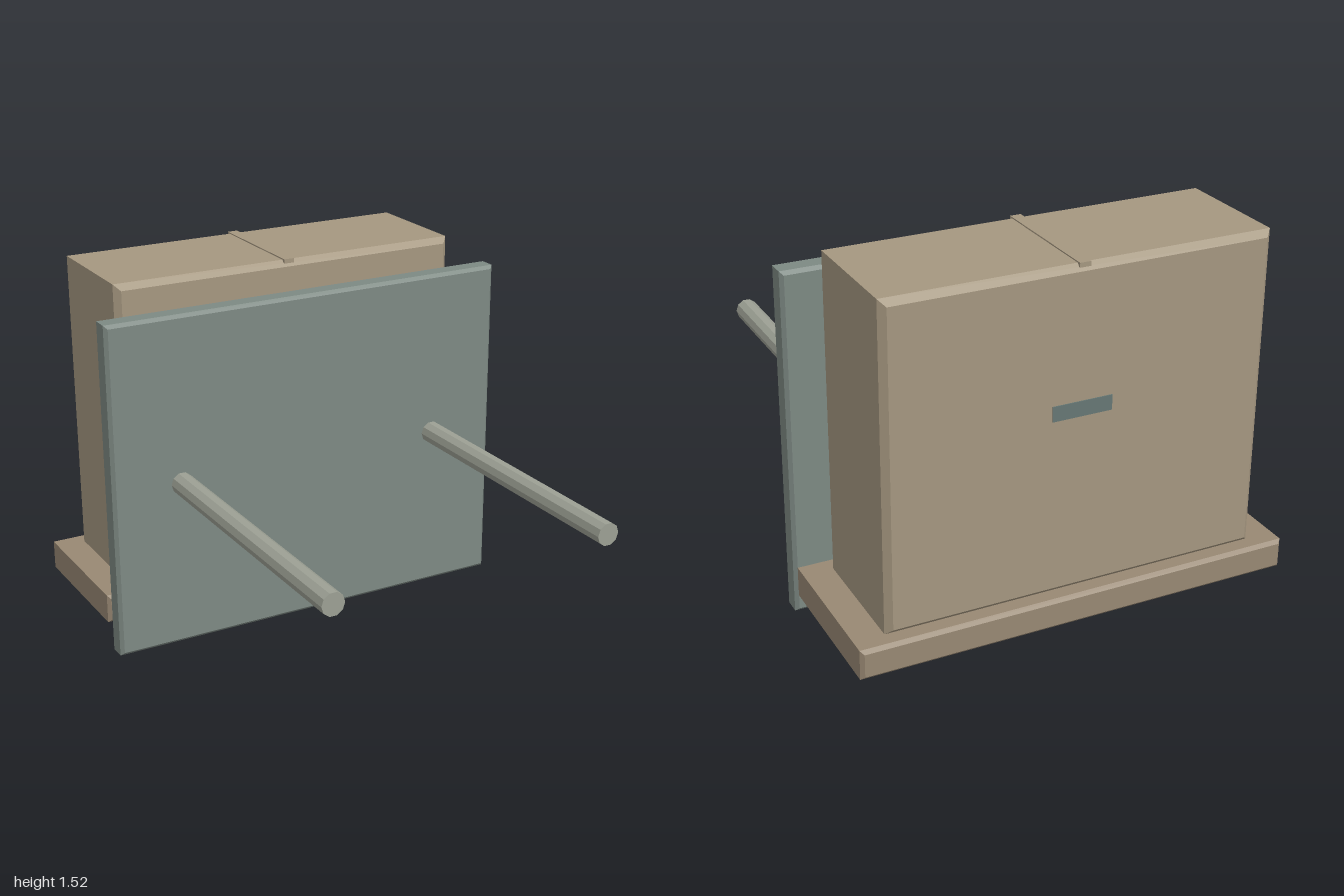
import * as THREE from 'three';

const mat = (color) => new THREE.MeshStandardMaterial({ color, flatShading: true });
const cardboard = mat(0xa59780);
const pallet = mat(0x988873);
const steel = mat(0x7d8983);
const rodMetal = mat(0x9ca094);
const labelGrey = mat(0x667774);

// Rectangular slab whose front and back rims are chamfered
function chamferedSlab(name, material, [x, y, z], [w, h, d], bevel) {
  const a = w / 2 - bevel, b = h / 2 - bevel;
  const shape = new THREE.Shape([[-a, -b], [a, -b], [a, b], [-a, b]].map(p => new THREE.Vector2(...p)));
  const geo = new THREE.ExtrudeGeometry(shape, {
    depth: d - 2 * bevel, bevelEnabled: true, bevelSegments: 1, bevelSize: bevel, bevelThickness: bevel,
  });
  geo.center();
  const mesh = new THREE.Mesh(geo, material);
  mesh.name = name;
  mesh.position.set(x, y, z);
  return mesh;
}

function block(name, material, [x, y, z], size) {
  const mesh = new THREE.Mesh(new THREE.BoxGeometry(...size), material);
  mesh.name = name;
  mesh.position.set(x, y, z);
  return mesh;
}

export function createModel() {
  const model = new THREE.Group();
  model.name = 'pushPlateAndCarton';

  // Push plate
  model.add(chamferedSlab('pushPlate', steel, [0, 0.706, -0.288], [1.776, 1.412, 0.094], 0.014));

  // Ten-sided push rods
  for (const side of [-1, 1]) {
    const geo = new THREE.CylinderGeometry(0.047, 0.047, 1.25, 10, 1, false, Math.PI / 2);
    const rod = new THREE.Mesh(geo.rotateX(Math.PI / 2), rodMetal);
    rod.name = side > 0 ? 'leftRod' : 'rightRod';
    rod.position.set(0.59 * side, 0.71, 0.375);
    model.add(rod);
  }

  // Base board under the carton
  model.add(chamferedSlab('baseBoard', pallet, [0, 0.161, -0.68], [1.776, 0.122, 0.64], 0.014));

  // Carton
  const carton = new THREE.Group();
  carton.name = 'carton';
  carton.add(chamferedSlab('cartonBody', cardboard, [0, 0.866, -0.682], [1.536, 1.292, 0.54], 0.025));

  // Seam strip across the top
  carton.add(block('topSeam', cardboard, [0, 1.508, -0.682], [0.044, 0.018, 0.525]));

  // Blank labels on the front and back
  for (const side of [-1, 1]) {
    const name = side > 0 ? 'frontLabel' : 'backLabel';
    carton.add(block(name, labelGrey, [0, 0.965, -0.682 + side * 0.27], [0.24, 0.06, 0.008]));
  }
  model.add(carton);
  return model;
}
